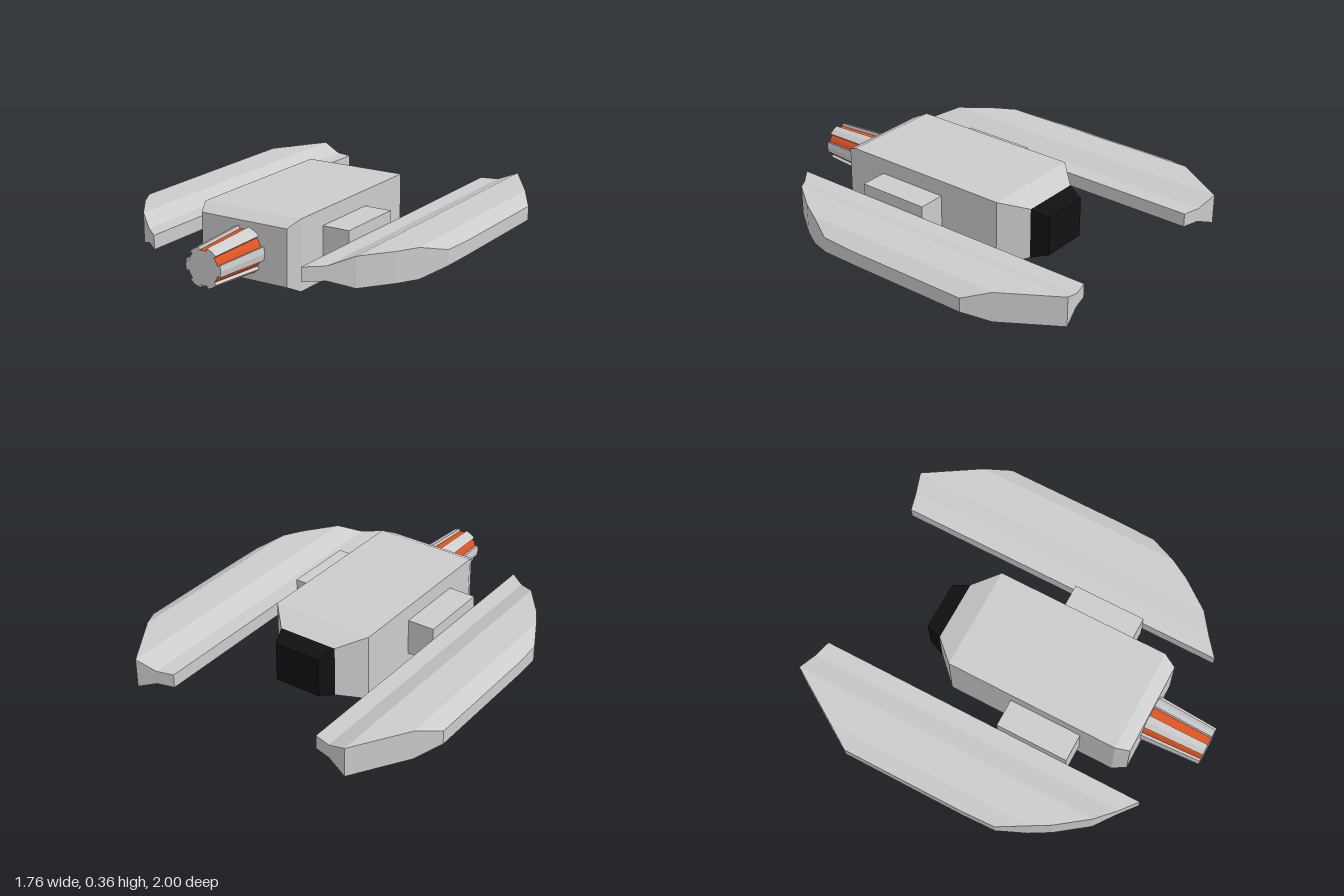
import * as THREE from 'three';

const MID = 0.18; // height of the centre line
const grey = new THREE.MeshStandardMaterial({ color: 0xcccccc, flatShading: true });
const orange = new THREE.MeshStandardMaterial({ color: 0xe0531f, flatShading: true });
const black = new THREE.MeshStandardMaterial({ color: 0x111111, flatShading: true });

// Closed solid through convex rings, each counter-clockwise seen from the loft direction
function loft(rings) {
  const n = rings[0].length, index = [];
  for (let r = 0; r < rings.length - 1; r++) {
    for (let i = 0; i < n; i++) {
      const a = r * n + i, b = r * n + (i + 1) % n;
      index.push(a, b, b + n, a, b + n, a + n);
    }
  }
  const last = (rings.length - 1) * n;
  for (let i = 1; i < n - 1; i++) {
    index.push(0, i + 1, i, last, last + i, last + i + 1);
  }
  const indexed = new THREE.BufferGeometry();
  indexed.setAttribute('position', new THREE.Float32BufferAttribute(rings.flat(2), 3));
  indexed.setIndex(index);
  const geometry = indexed.toNonIndexed();
  geometry.computeVertexNormals();
  return geometry;
}

// Rectangle across z
const rectZ = ([z, w, h]) => [[-w, -h, z], [w, -h, z], [w, h, z], [-w, h, z]];
// Rectangle across x
const rectX = ([x, h, back, front]) => [[x, -h, back], [x, h, back], [x, h, front], [x, -h, front]];

// Curved bar cross-section of a barrel rib
function ribRing(z, inner, outer, angle) {
  const ring = [], half = 0.29;
  for (let i = 0; i <= 2; i++) {
    const t = angle - half + half * i;
    ring.push([outer * Math.cos(t), outer * Math.sin(t), z]);
  }
  for (const t of [angle + half, angle - half]) {
    ring.push([inner * Math.cos(t), inner * Math.sin(t), z]);
  }
  return ring;
}

export function createModel() {
  const model = new THREE.Group();
  model.name = 'spacecraft';
  const core = new THREE.Group();
  core.name = 'centreLine';
  core.position.y = MID;
  model.add(core);

  const add = (parent, name, geometry, material = grey) => {
    const mesh = new THREE.Mesh(geometry, material);
    mesh.name = name;
    parent.add(mesh);
    return mesh;
  };

  // Hull with tapered stern and bevelled bow
  add(core, 'hull', loft([
    [-0.44, 0.162, 0.135], [-0.32, 0.278, 0.18], [0.61, 0.278, 0.18], [0.68, 0.247, 0.145],
  ].map(rectZ)));
  add(core, 'engineNozzle', loft([[-0.53, 0.128, 0.105], [-0.44, 0.162, 0.135]].map(rectZ)), black);

  // Barrel: orange cone, grey end disc and six ribs
  const cone = add(core, 'barrelCore', new THREE.CylinderGeometry(0.086, 0.103, 0.32, 24, 1, true), orange);
  cone.rotation.x = Math.PI / 2;
  cone.position.z = 0.84;
  add(core, 'barrelEnd', new THREE.CircleGeometry(0.086, 24)).position.z = 1;
  for (let i = 0; i < 6; i++) {
    const a = i * Math.PI / 3;
    add(core, 'barrelRib', loft([ribRing(0.68, 0.09, 0.12, a), ribRing(1, 0.08, 0.101, a)]));
  }

  // Each side is a half turn of the other about the centre line
  for (const [name, turn] of [['left', 0], ['right', Math.PI]]) {
    const side = new THREE.Group();
    side.name = name + 'Side';
    side.rotation.z = turn;
    core.add(side);

    const pylon = add(side, name + 'Pylon', new THREE.BoxGeometry(0.165, 0.195, 0.39));
    pylon.position.set(0.3425, 0, 0.225);

    // Sections of x, half thickness, back z and front z
    add(side, name + 'Wing', loft([
      [0.425, 0.036, -0.95, 0.83],
      [0.515, 0.036, -0.973, 0.757],
      [0.62, 0.078, -1, 0.67],
      [0.74, 0.078, -0.81, 0.51],
      [0.8, 0.078, -0.715, 0.405],
      [0.873, 0.04, -0.60, 0.26],
      [0.88, 0.037, -0.59, 0.08],
    ].map(rectX)));
  }
  return model;
}
